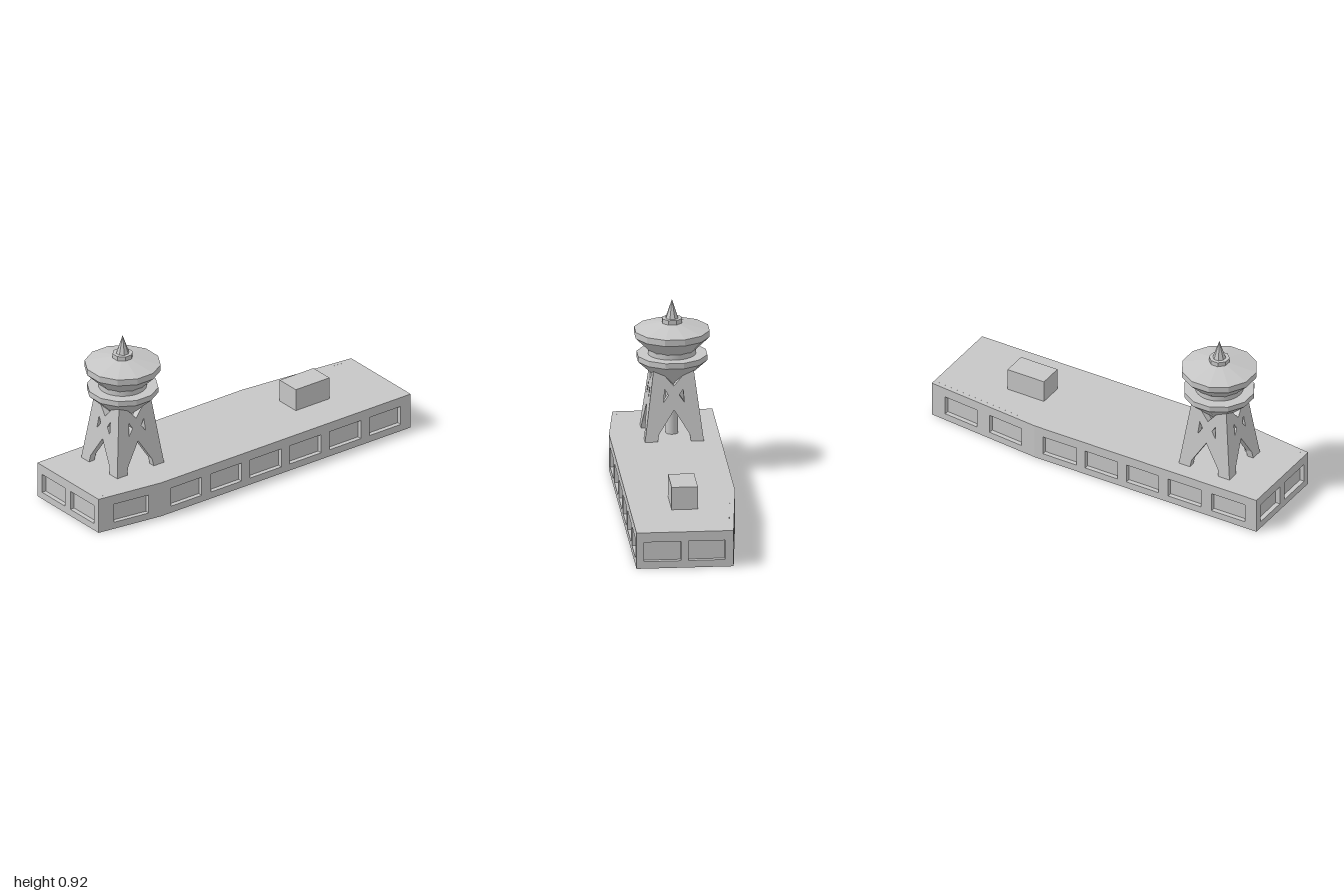
import * as THREE from 'three';

const stone = new THREE.MeshStandardMaterial({ color: 0xc6c6c6 });
stone.name = 'light grey';

const V = (x, y) => new THREE.Vector2(x, y);

function add(parent, name, geometry, x = 0, y = 0, z = 0) {
  const mesh = new THREE.Mesh(geometry, stone);
  mesh.name = name;
  mesh.position.set(x, y, z);
  parent.add(mesh);
  return mesh;
}

// faceted turned part; radii are measured to the flats, which face the axes
function faceted(profile, sides) {
  const k = 1 / Math.cos(Math.PI / sides);
  let g = new THREE.LatheGeometry(profile.map(([r, y]) => V(r * k, y)), sides);
  g.rotateY(Math.PI / sides);
  g = g.toNonIndexed();
  g.computeVertexNormals();
  return g;
}

// ---- base block with recessed windows ----
const H = 0.195, RECESS = 0.025, SILL = 0.038, HEAD = 0.143;
const outline = [[-1, 0.235], [-0.63, 0.285], [1, 0.285], [1, -0.22], [0.34, -0.285], [-1, -0.285]];
const inset = [[-0.975, 0.213], [-0.632, 0.26], [0.975, 0.26], [0.975, -0.197], [0.339, -0.26], [-0.975, -0.26]];
// window spans per wall, in x for long walls and in z for end walls
const windows = [
  [[-0.91, -0.705]],
  [[-0.565, -0.365], [-0.305, -0.105], [-0.05, 0.155], [0.21, 0.415], [0.47, 0.675], [0.73, 0.935]],
  [[0.247, 0.053], [0.015, -0.175]],
  [[0.915, 0.71], [0.63, 0.425]],
  [[0.29, 0.086], [0.035, -0.16], [-0.215, -0.41], [-0.467, -0.665], [-0.73, -0.93]],
  [[-0.245, -0.05], [-0.005, 0.195]],
];

function wallGeometry(length, spans) {
  const s = new THREE.Shape([V(0, 0), V(length, 0), V(length, H), V(0, H)]);
  for (const [a, b] of spans) {
    s.holes.push(new THREE.Path([V(a, SILL), V(a, HEAD), V(b, HEAD), V(b, SILL)]));
  }
  const g = new THREE.ExtrudeGeometry(s, { depth: RECESS, bevelEnabled: false });
  return g.translate(0, 0, -RECESS);
}

function createBase() {
  const base = new THREE.Group();
  base.name = 'base';
  const core = new THREE.ExtrudeGeometry(new THREE.Shape(inset.map(([x, z]) => V(x, -z))), { depth: H, bevelEnabled: false });
  add(base, 'baseCore', core.rotateX(-Math.PI / 2));
  outline.forEach((p, i) => {
    const q = outline[(i + 1) % outline.length];
    const dx = q[0] - p[0], dz = q[1] - p[1];
    const length = Math.hypot(dx, dz);
    const axis = Math.abs(dx) > 0.01 ? 0 : 1;
    const along = (c) => (c - p[axis]) / (q[axis] - p[axis]) * length;
    const spans = windows[i].map(([a, b]) => [along(a), along(b)]);
    const wall = add(base, 'windowWall', wallGeometry(length, spans), p[0], 0, p[1]);
    wall.rotation.y = Math.atan2(-dz, dx);
  });
  add(base, 'roofBox', new THREE.BoxGeometry(0.22, 0.122, 0.136), 0.525, H + 0.061, 0.002);
  return base;
}

// ---- tower ----
const half = (y) => 0.153 - 0.13 * (y - H);

// one leaning side of the trestle: two feet joined by a crossing brace
function legSide() {
  const right = [[0, 0.36], [0.079, 0.235], [0.086, H], [half(H), H], [half(0.59), 0.59], [0.09, 0.59]];
  const left = right.slice(1).reverse().map(([x, y]) => [-x, y]);
  const s = new THREE.Shape([...right, [0, 0.485], ...left].map(([x, y]) => V(x, y)));
  for (const m of [-1, 1]) {
    s.holes.push(new THREE.Path([V(m * 0.048, 0.47), V(m * 0.054, 0.4), V(m * 0.028, 0.437)]));
  }
  const depth = 0.035;
  const g = new THREE.ExtrudeGeometry(s, { depth, bevelEnabled: false });
  const p = g.attributes.position;
  for (let i = 0; i < p.count; i++) p.setZ(i, half(p.getY(i)) - depth + p.getZ(i));
  g.computeVertexNormals();
  return g;
}

function createTower() {
  const tower = new THREE.Group();
  tower.name = 'tower';
  tower.position.set(-0.63, 0, -0.042);
  const side = legSide();
  for (let i = 0; i < 4; i++) add(tower, 'legSide', side).rotation.y = i * Math.PI / 2;
  add(tower, 'centralColumn', new THREE.CylinderGeometry(0.032, 0.032, 0.31, 24), 0, 0.345, 0);
  add(tower, 'lowerDeck', faceted([[0, 0.465], [0.04, 0.465], [0.18, 0.6], [0.18, 0.63], [0, 0.63]], 12));
  add(tower, 'neck', new THREE.CylinderGeometry(0.125, 0.125, 0.06, 48), 0, 0.655, 0);
  add(tower, 'upperDeck', faceted([[0, 0.64], [0.106, 0.64], [0.192, 0.728], [0.192, 0.762], [0.045, 0.797], [0, 0.797]], 12));
  add(tower, 'spireCollar', faceted([[0, 0.79], [0.05, 0.797], [0.05, 0.821], [0, 0.821]], 8));
  add(tower, 'spire', faceted([[0.032, 0.82], [0, 0.922]], 8));
  return tower;
}

export function createModel() {
  const model = new THREE.Group();
  model.name = 'towerBuilding';
  model.add(createBase(), createTower());
  return model;
}
